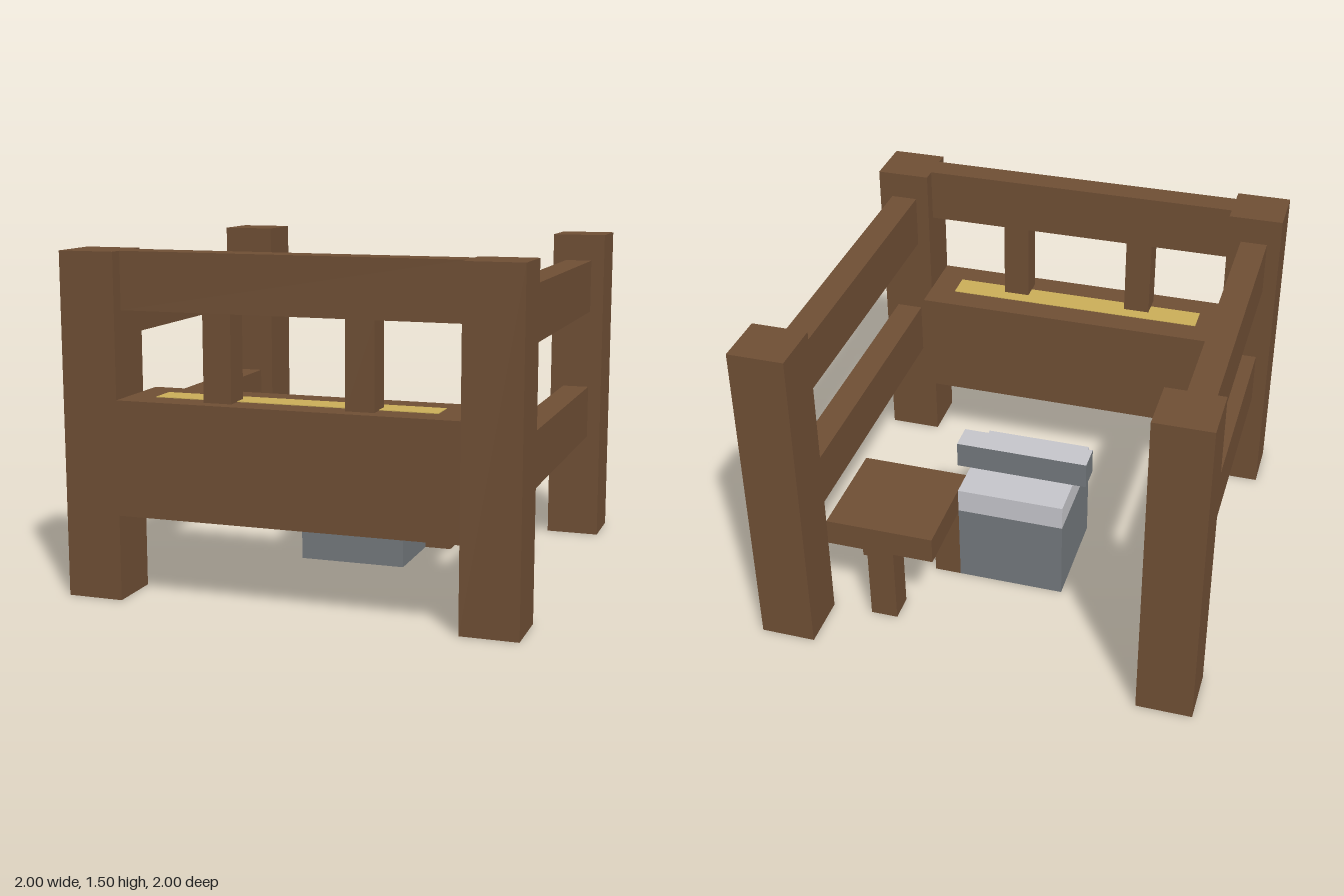
import * as THREE from 'three';

export function createModel() {
  const make = (name, color) => {
    const m = new THREE.MeshStandardMaterial({ color });
    m.name = name;
    return m;
  };
  const wood = make('brown wood', 0x6e4e34);
  const steel = make('dark grey metal', 0x72777b);
  const pale = make('light grey metal', 0xc4c4c9);
  const straw = make('yellow hay', 0xc9ad58);

  const group = new THREE.Group();
  group.name = 'stable pen';

  // Box given by its min and max on each axis
  function box(parent, name, material, [x0, x1], [y0, y1], [z0, z1]) {
    const mesh = new THREE.Mesh(new THREE.BoxGeometry(x1 - x0, y1 - y0, z1 - z0), material);
    mesh.position.set((x0 + x1) / 2, (y0 + y1) / 2, (z0 + z1) / 2);
    mesh.name = name;
    parent.add(mesh);
    return mesh;
  }
  function part(name) {
    const g = new THREE.Group();
    g.name = name;
    group.add(g);
    return g;
  }
  const around = (c, w) => [c - w / 2, c + w / 2];

  // Corner posts, side rails and balusters
  const fence = part('fence');
  for (const s of [-1, 1]) {
    const side = s > 0 ? 'left' : 'right';
    for (const e of [-1, 1]) {
      box(fence, `${side}${e > 0 ? 'Front' : 'Back'}Post`, wood,
        around(s * 0.875, 0.25), [0, 1.5], around(e * 0.875, 0.25));
    }
    box(fence, `${side}LowerRail`, wood, around(s * 0.875, 0.125), [0.5, 0.75], [-0.75, 0.75]);
    box(fence, `${side}UpperRail`, wood, around(s * 0.875, 0.125), [1.125, 1.375], [-0.75, 0.75]);
    box(fence, `${side}Baluster`, wood, around(s * 0.3125, 0.125), [0.875, 1.25], [0.8125, 0.9375]);
  }
  box(fence, 'frontTopRail', wood, [-0.75, 0.75], [1.25, 1.5], [0.8125, 0.9375]);

  // Feeding trough filled with hay
  const trough = part('trough');
  box(trough, 'troughBody', wood, [-0.75, 0.75], [0.375, 0.875], [0.625, 1]);
  box(trough, 'hay', straw, [-0.625, 0.625], [0.874, 0.878], [0.75, 0.875]);

  // Three-legged stool
  const stool = part('stool');
  box(stool, 'stoolSeat', wood, [0.25, 0.75], [0.375, 0.5], [-0.75, -0.25]);
  for (const [x, z] of [[0.3125, -0.3125], [0.6875, -0.3125], [0.5, -0.6875]]) {
    box(stool, 'stoolLeg', wood, around(x, 0.125), [0, 0.375], around(z, 0.125));
  }

  // Pail with a pale rim and a handle lying across it
  const pail = part('pail');
  box(pail, 'pailBody', steel, [-0.25, 0.25], [0, 0.385], [-0.375, 0.125]);
  box(pail, 'pailRim', pale, [-0.25, 0.25], [0.385, 0.5], [-0.375, 0.125]);
  box(pail, 'pailHandle', [steel, steel, pale, steel, steel, steel],
    [-0.3125, 0.3125], [0.5, 0.625], [-0.1875, -0.0625]);

  return group;
}
